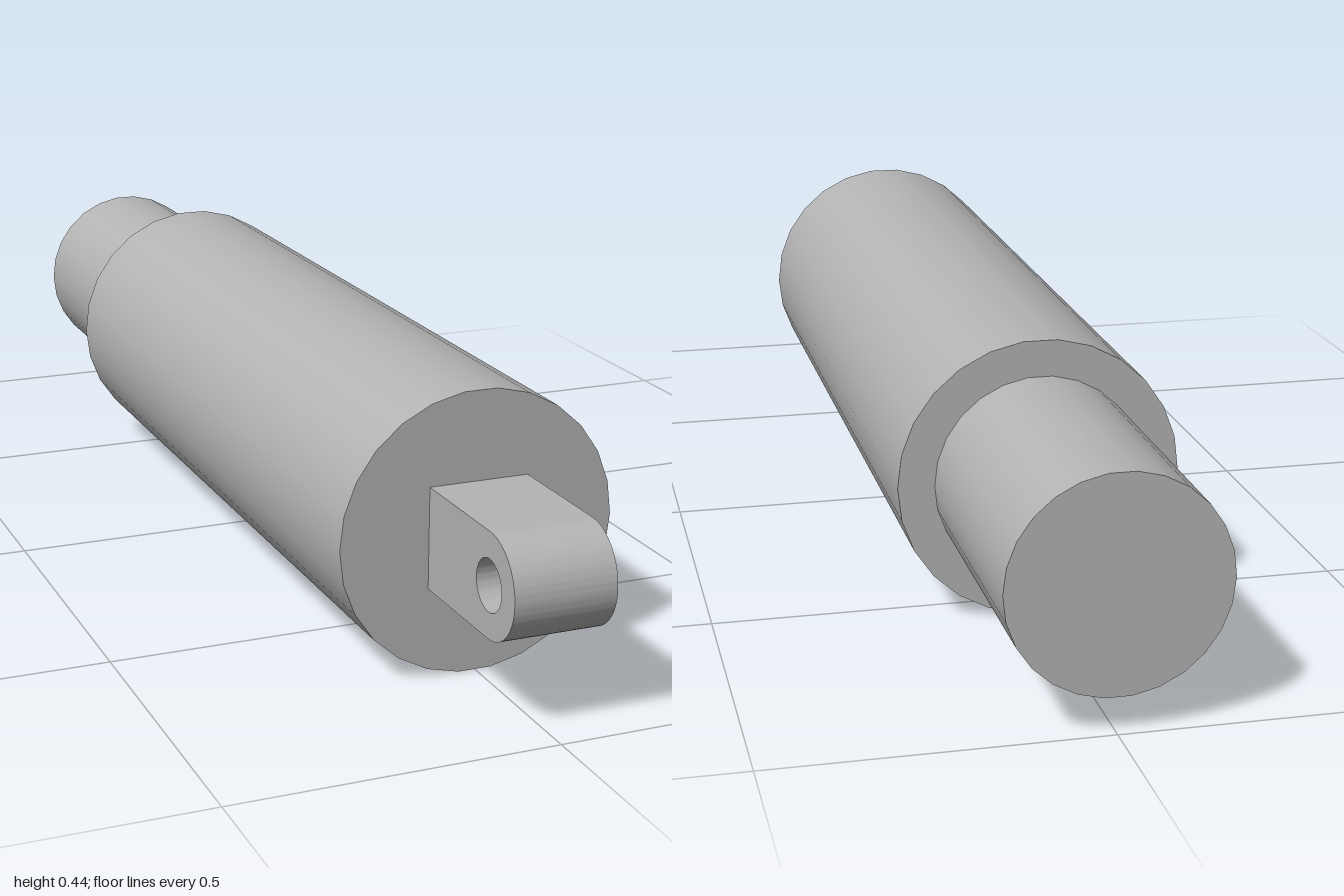
import * as THREE from 'three';
import { toCreasedNormals } from 'three/addons/utils/BufferGeometryUtils.js';

const SIDES = 26;
const AXIS_Y = 0.2184;

export function createModel() {
  const model = new THREE.Group();
  model.name = 'cylinderActuator';
  const metal = new THREE.MeshStandardMaterial({ color: 0xb4b4b4 });
  metal.name = 'grey metal';

  function addMesh(name, geometry) {
    const mesh = new THREE.Mesh(geometry, metal);
    mesh.name = name;
    model.add(mesh);
  }

  // Closed cylinder lying along z, with a corner on the x axis
  function addBarrel(name, radius, zBack, zFront) {
    const geo = new THREE.CylinderGeometry(radius, radius, zFront - zBack, SIDES, 1, false, Math.PI / 2);
    geo.rotateX(Math.PI / 2);
    geo.translate(0, AXIS_Y, (zBack + zFront) / 2);
    addMesh(name, geo);
  }

  addBarrel('body', 0.22, -0.56, 0.725);
  addBarrel('rod', 0.163, -1, -0.555);

  // Mounting lug: rounded tongue with a pin hole, drawn in (z, y) and extruded along x
  const half = 0.079;
  const pinZ = 1 - half;
  const tongue = new THREE.Shape();
  tongue.moveTo(0.72, -half);
  tongue.lineTo(pinZ, -half);
  tongue.absarc(pinZ, 0, half, -Math.PI / 2, Math.PI / 2, false);
  tongue.lineTo(0.72, half);
  tongue.closePath();
  const hole = new THREE.Path();
  hole.absarc(pinZ, 0, 0.039, 0, Math.PI * 2, true);
  tongue.holes.push(hole);

  const lug = new THREE.ExtrudeGeometry(tongue, { depth: half * 2, bevelEnabled: false, curveSegments: 24 });
  lug.translate(0, 0, -half);
  lug.rotateY(-Math.PI / 2);
  lug.translate(0, AXIS_Y + 0.001, 0);
  addMesh('mountingLug', toCreasedNormals(lug, 0.6));

  return model;
}
